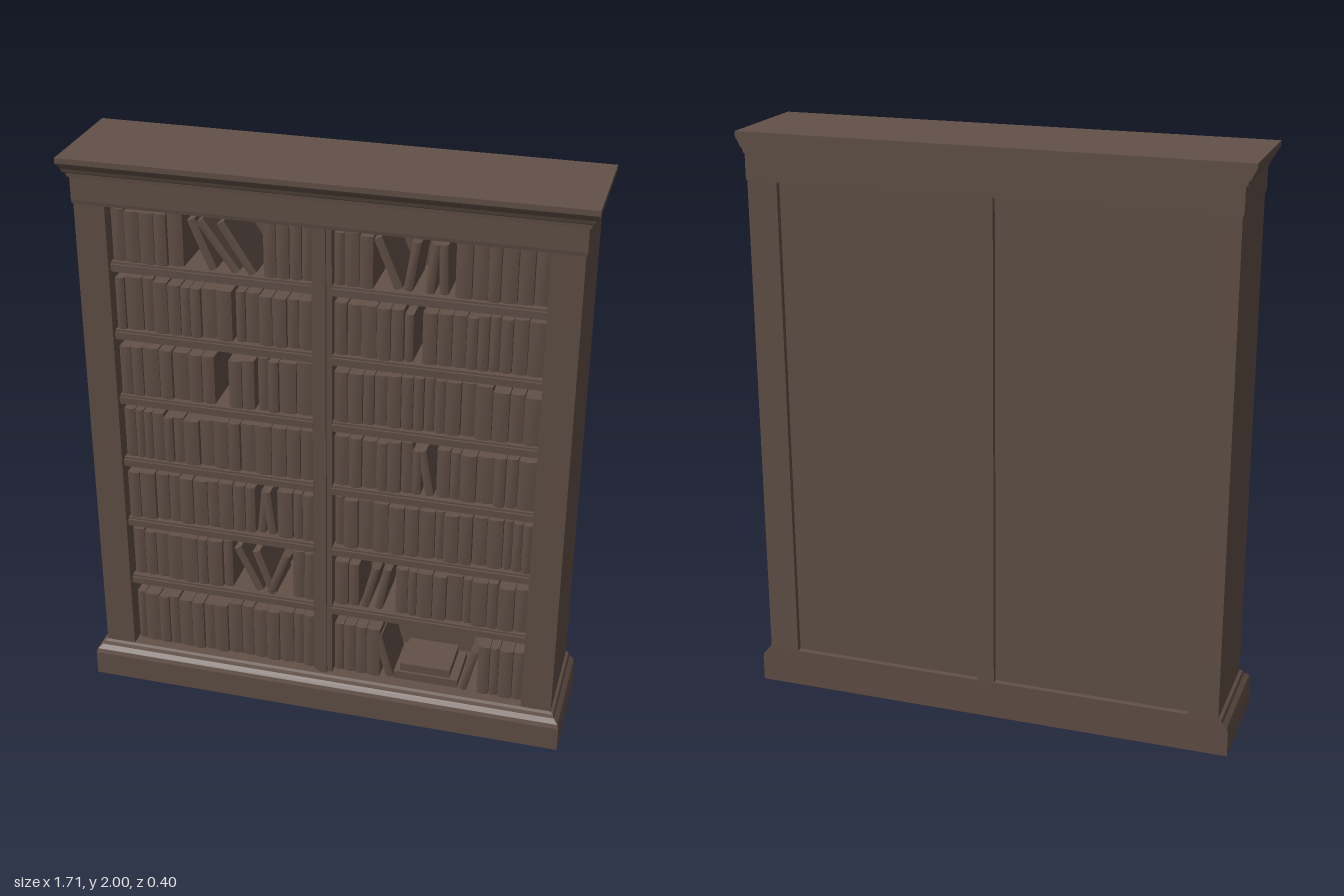
import * as THREE from 'three';

const wood = new THREE.MeshStandardMaterial({ color: 0x625148 });
wood.name = 'dark walnut';

const BACK = -0.2, FRONT = 0.165, SIDE = 0.82;
const BAYS = [[-0.715, -0.036], [0.03, 0.715]];

let seed = 7;
const rand = () => (seed = (seed * 16807) % 2147483647) / 2147483647;

function add(parent, name, geometry) {
  const mesh = new THREE.Mesh(geometry, wood);
  mesh.name = name;
  parent.add(mesh);
  return mesh;
}

// box given by its limits on each axis
function block(parent, name, x0, x1, y0, y1, z0, z1) {
  const mesh = add(parent, name, new THREE.BoxGeometry(x1 - x0, y1 - y0, z1 - z0));
  mesh.position.set((x0 + x1) / 2, (y0 + y1) / 2, (z0 + z1) / 2);
}

// moulding wrapped round front and sides, flush at the back; profile = [overhang, y]
function moulding(parent, name, profile) {
  const pos = [];
  const rings = profile.map(([o, y]) => [
    [-SIDE - o, y, FRONT + o], [SIDE + o, y, FRONT + o],
    [SIDE + o, y, BACK], [-SIDE - o, y, BACK],
  ]);
  const quad = (a, b, c, d) => pos.push(...a, ...b, ...c, ...a, ...c, ...d);
  for (let i = 0; i < rings.length - 1; i++) {
    const lo = rings[i], hi = rings[i + 1];
    for (let k = 0; k < 4; k++) quad(lo[k], lo[(k + 1) % 4], hi[(k + 1) % 4], hi[k]);
  }
  quad(...rings[rings.length - 1]);
  quad(...rings[0].reverse());
  const geometry = new THREE.BufferGeometry();
  geometry.setAttribute('position', new THREE.Float32BufferAttribute(pos, 3));
  geometry.computeVertexNormals();
  add(parent, name, geometry);
}

// book with a bowed spine, standing on its foot at (x, y)
function book(parent, name, x, y, w, h, tilt = 0) {
  const g = new THREE.BoxGeometry(w, h, 0.18, 2, 1, 1);
  const p = g.attributes.position;
  for (let i = 0; i < p.count; i++) {
    if (p.getZ(i) > 0 && Math.abs(p.getX(i)) < 1e-6) p.setZ(i, p.getZ(i) + 0.006);
  }
  g.translate(0, h / 2, 0);
  g.computeVertexNormals();
  const mesh = add(parent, name, g);
  mesh.position.set(x, y, 0.025 + rand() * 0.015);
  mesh.rotation.z = tilt;
}

// upright books filling x0 to x1, in sets of equal height
function runOfBooks(parent, y, x0, x1, height) {
  const n = Math.max(1, Math.round((x1 - x0) / 0.045));
  const widths = Array.from({ length: n }, () => 0.7 + rand() * 0.6);
  const scale = (x1 - x0) / widths.reduce((a, b) => a + b, 0);
  let x = x0, setHeight = height;
  widths.forEach((share, i) => {
    const w = share * scale;
    if (i % 4 === 0) setHeight = height - rand() * 0.02;
    book(parent, 'book', x + w / 2, y, w - 0.002, setHeight - rand() * 0.008);
    x += w;
  });
}

// book leaning from its foot at xFoot to its head at xHead
function leaningBook(parent, y, xFoot, xHead) {
  const rise = 0.165, dx = xHead - xFoot;
  book(parent, 'leaningBook', xFoot, y + 0.004, 0.028, Math.hypot(dx, rise), -Math.atan2(dx, rise));
}

// breaks in the upright books, bottom row first: from, to, then [foot, head] of loose books
const GAPS = [
  [[0.2, 0.55, [0.235, 0.19], [0.5, 0.54]]],
  [[-0.34, -0.12, [-0.24, -0.32], [-0.19, -0.25], [-0.2, -0.14]], [0.12, 0.25, [0.14, 0.18], [0.19, 0.22]]],
  [[-0.25, -0.17, [-0.23, -0.215], [-0.19, -0.21]]],
  [[0.3, 0.38, [0.315, 0.315], [0.36, 0.33]]],
  [[-0.38, -0.33], [-0.24, -0.23]],
  [[-0.31, -0.3], [0.26, 0.32, [0.278, 0.278]]],
  [[-0.47, -0.2, [-0.37, -0.44], [-0.29, -0.41], [-0.235, -0.34]],
    [0.16, 0.42, [0.24, 0.17], [0.27, 0.295], [0.34, 0.355], [0.385, 0.38]]],
];

export function createModel() {
  const model = new THREE.Group();
  model.name = 'bookcase';

  // plinth and cornice
  moulding(model, 'plinth', [[0.035, 0], [0.035, 0.09], [0.03, 0.105], [0.015, 0.118], [0.01, 0.13], [0, 0.135]]);
  moulding(model, 'cornice', [[0.003, 1.84], [0.005, 1.852], [0.005, 1.93], [0.012, 1.932], [0.013, 1.945],
    [0.021, 1.95], [0.025, 1.962], [0.033, 1.975], [0.037, 1.982], [0.037, 2]]);

  // side posts
  block(model, 'rightPost', -SIDE, -0.715, 0.12, 1.85, BACK, FRONT);
  block(model, 'leftPost', 0.715, SIDE, 0.12, 1.85, BACK, FRONT);

  // centre divider with a raised bead on its front
  block(model, 'centreDivider', -0.036, 0.03, 0.12, 1.85, -0.12, 0.145);
  block(model, 'dividerBead', -0.018, 0.012, 0.13, 1.845, 0.14, 0.156);

  // recessed back panel and rear mullion
  block(model, 'backPanel', -0.72, 0.72, 0.12, 1.85, -0.18, -0.1);
  block(model, 'rearMullion', -0.03, 0.03, 0.12, 1.85, BACK, -0.17);

  const books = new THREE.Group();
  books.name = 'books';
  model.add(books);

  GAPS.forEach((gaps, row) => {
    const y = row ? 0.176 + 0.244 * row : 0.135;
    const height = row ? 0.195 : 0.22;
    for (const [x0, x1] of BAYS) {
      // shelves with a moulded front lip
      if (row) {
        block(model, 'shelf', x0 - 0.003, x1 + 0.003, y - 0.036, y, -0.11, 0.14);
        block(model, 'shelfLip', x0 - 0.003, x1 + 0.003, y - 0.028, y - 0.007, 0.135, 0.148);
      }
      // upright books between the breaks
      let x = x0 + 0.003;
      for (const [from, to] of gaps) {
        if (from < x0 || to > x1) continue;
        runOfBooks(books, y, x, from, height);
        x = to;
      }
      runOfBooks(books, y, x, x1 - 0.003, height);
    }
    for (const [, , ...loose] of gaps) {
      for (const [foot, head] of loose) leaningBook(books, y, foot, head);
    }
  });

  // books lying flat in the bottom bay
  block(books, 'flatBook', 0.25, 0.48, 0.135, 0.165, -0.06, 0.12);
  block(books, 'flatBook', 0.27, 0.45, 0.165, 0.195, -0.05, 0.11);

  return model;
}
